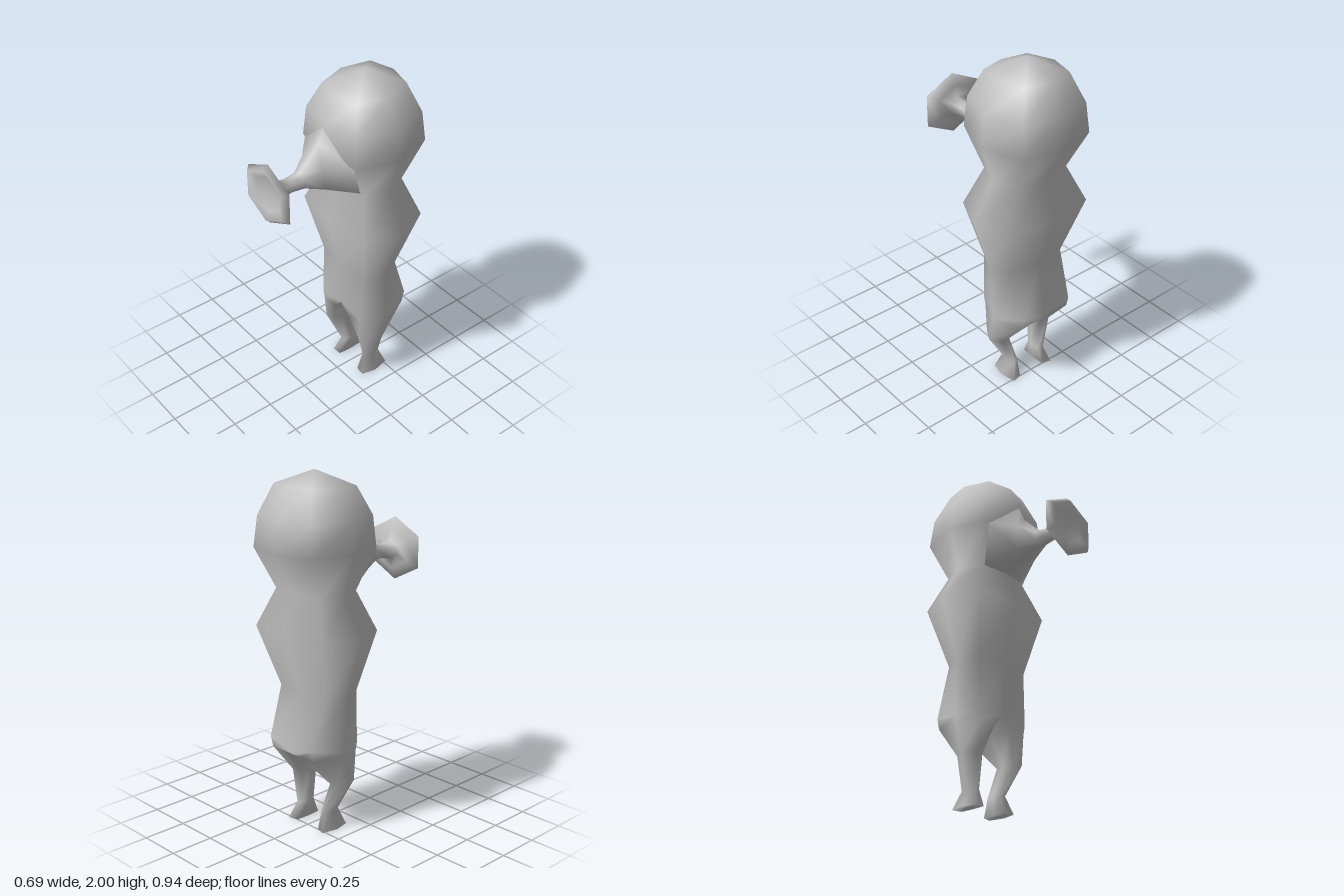
import * as THREE from 'three';

export function createModel() {
  const group = new THREE.Group();
  const grey = new THREE.MeshStandardMaterial({ color: 0xc0c0c0 });
  grey.name = 'plain grey';

  // One shared vertex pool keeps shading smooth where parts meet
  const positions = [], lookup = new Map(), parts = [];
  const vertex = (p) => {
    const key = p.map((n) => Math.round(n * 1e4)).join();
    if (!lookup.has(key)) {
      lookup.set(key, positions.length / 3);
      positions.push(...p);
    }
    return lookup.get(key);
  };

  // Skins consecutive closed rings of points
  function loft(name, rings) {
    const index = [];
    const tri = (a, b, c) => { if (a !== b && b !== c && a !== c) index.push(a, b, c); };
    for (let i = 0; i < rings.length - 1; i++) {
      const n = rings[i].length;
      for (let j = 0; j < n; j++) {
        const k = (j + 1) % n;
        const a = vertex(rings[i][j]), b = vertex(rings[i][k]);
        const c = vertex(rings[i + 1][j]), d = vertex(rings[i + 1][k]);
        tri(a, c, b);
        tri(b, c, d);
      }
    }
    parts.push({ name, index });
  }

  // Eight-sided horizontal ring, starting at the front and turning to +x
  const outline = [[0, 1], [0.76, 0.82], [1, 0], [0.76, -0.82], [0, -1], [-0.76, -0.82], [-1, 0], [-0.76, 0.82]];
  const ring = (y, halfWidth, front, back, tilt = 0) => outline.map(([x, z]) =>
    [x * halfWidth, y + tilt * z, (front + back) / 2 + z * (front - back) / 2]);
  const point = (n, x, y, z) => Array.from({ length: n }, () => [x, y, z]);

  // Head
  const neck = ring(1.36, 0.225, -0.015, -0.335);
  loft('head', [
    point(8, 0, 2, -0.18),
    ring(1.92, 0.19, 0.02, -0.37, -0.01),
    ring(1.76, 0.275, 0.09, -0.445),
    ring(1.59, 0.295, 0.105, -0.465),
    neck,
  ]);

  // Torso, ending in a hip ring that is arched at the front
  const front = [0, 0.52, -0.025], back = [0, 0.46, -0.355];
  const hipSide = [[0.17, 0.49, -0.03], [0.223, 0.48, -0.18], [0.165, 0.525, -0.37]];
  const flip = ([x, y, z]) => [-x, y, z];
  loft('torso', [
    neck,
    ring(1.145, 0.345, 0.07, -0.42),
    ring(0.8, 0.235, -0.02, -0.3),
    [front, ...hipSide, back, ...hipSide.map(flip).reverse()],
  ]);

  // Legs: rings run front, outer front, outside, outer back, back, inside
  const leg = [
    [front, ...hipSide, back, [0, 0.49, -0.19]],
    [[0.06, 0.44, -0.04], [0.165, 0.44, -0.035], [0.22, 0.44, -0.17],
      [0.165, 0.46, -0.355], [0.05, 0.455, -0.345], [0.055, 0.44, -0.18]],
    [[0.12, 0.27, -0.07], [0.175, 0.27, -0.058], [0.217, 0.27, -0.13],
      [0.175, 0.27, -0.2], [0.12, 0.27, -0.19], [0.105, 0.27, -0.13]],
    [[0.08, 0.1, -0.13], [0.11, 0.1, -0.12], [0.127, 0.1, -0.17],
      [0.11, 0.1, -0.228], [0.08, 0.1, -0.22], [0.07, 0.1, -0.17]],
    [[0.085, 0, -0.09], [0.14, 0, -0.085], [0.16, 0, -0.17],
      [0.14, 0, -0.265], [0.085, 0, -0.25], [0.08, 0, -0.17]],
    point(6, 0.12, 0, -0.17),
  ];
  loft('leftLeg', leg);
  loft('rightLeg', leg.map((r) => r.map(flip).reverse()));

  // Snout: six-sided rings starting at the top and turning to +x
  const hex = (z, r, rx = r) => Array.from({ length: 6 }, (_, i) => {
    const a = i * Math.PI / 3;
    return [Math.sin(a) * rx * 1.13, 1.49 + Math.cos(a) * r, z];
  });
  const mirrored = (top, upper, lower, bottom) => [top, upper, lower, bottom, flip(lower), flip(upper)];
  const snoutTip = hex(0.4, 0.054);
  loft('snout', [
    mirrored([0, 1.76, 0.085], [0.222, 1.585, 0.04], [0.16, 1.36, -0.055], [0, 1.36, -0.02]),
    mirrored([0, 1.665, 0.12], [0.088, 1.56, 0.165], [0.08, 1.43, 0.14], [0, 1.4, 0.12]),
    hex(0.25, 0.047),
    hex(0.325, 0.043, 0.036),
    snoutTip,
  ]);

  // Flared mouth disc with a hollow face
  loft('mouthDisc', [
    snoutTip,
    hex(0.412, 0.115),
    hex(0.44, 0.18),
    hex(0.47, 0.152),
    hex(0.445, 0.105),
    point(6, 0, 1.49, 0.435),
  ]);

  // Smooth normals over the whole skin, then one mesh per part
  const skin = new THREE.BufferGeometry();
  skin.setAttribute('position', new THREE.Float32BufferAttribute(positions, 3));
  skin.setIndex(parts.flatMap((p) => p.index));
  skin.computeVertexNormals();
  for (const { name, index } of parts) {
    const geometry = new THREE.BufferGeometry();
    geometry.setAttribute('position', skin.attributes.position);
    geometry.setAttribute('normal', skin.attributes.normal);
    geometry.setIndex(index);
    const mesh = new THREE.Mesh(geometry, grey);
    mesh.name = name;
    group.add(mesh);
  }
  return group;
}
